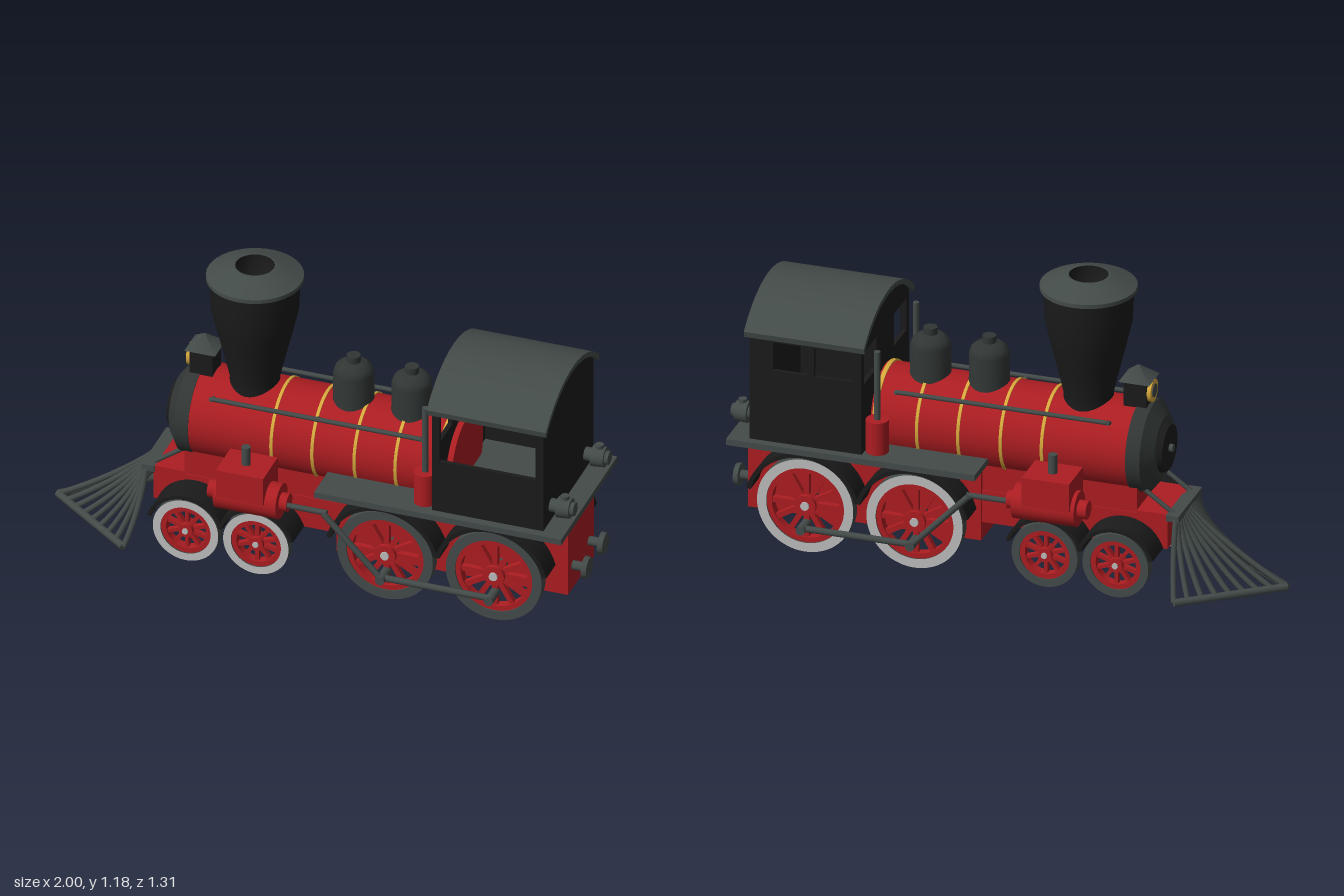
import * as THREE from 'three';

const mat = (name, color, side = THREE.FrontSide) => {
  const m = new THREE.MeshStandardMaterial({ color, side });
  m.name = name;
  return m;
};

export function createModel() {
  const red = mat('red paint', 0xac1d21);
  const grey = mat('grey iron', 0x434b49);
  const dark = mat('dark iron', 0x313635);
  const black = mat('black iron', 0x1b1b1b, THREE.DoubleSide);
  const gold = mat('brass', 0xd6a83c);
  const white = mat('pale steel', 0xbdbdbd);

  // Built with the nose towards -x, then turned as a whole
  const engine = new THREE.Group();
  engine.name = 'engine';
  const add = (name, geo, material, x = 0, y = 0, z = 0, parent = engine) => {
    const m = new THREE.Mesh(geo, material);
    m.name = name;
    m.position.set(x, y, z);
    parent.add(m);
    return m;
  };
  const box = (name, material, x0, x1, y0, y1, z0, z1) =>
    add(name, new THREE.BoxGeometry(x1 - x0, y1 - y0, z1 - z0), material, (x0 + x1) / 2, (y0 + y1) / 2, (z0 + z1) / 2);
  const lathe = (pts, n = 40) => new THREE.LatheGeometry(pts.map(p => new THREE.Vector2(...p)), n);
  const up = (name, material, r, y0, y1, x, z) =>
    add(name, new THREE.CylinderGeometry(r, r, y1 - y0, 24), material, x, (y0 + y1) / 2, z);
  const along = (name, material, r0, r1, x0, x1, y, z, n = 32) => {
    const g = new THREE.CylinderGeometry(r1, r0, x1 - x0, n).rotateZ(-Math.PI / 2);
    return add(name, g, material, (x0 + x1) / 2, y, z);
  };
  const rod = (name, material, a, b, r = 0.008, n = 8) => {
    const p = new THREE.Vector3(...a), q = new THREE.Vector3(...b), d = q.clone().sub(p);
    const m = add(name, new THREE.CylinderGeometry(r, r, d.length(), n), material, ...p.clone().add(q).multiplyScalar(0.5).toArray());
    m.quaternion.setFromUnitVectors(new THREE.Vector3(0, 1, 0), d.normalize());
    return m;
  };
  const extrude = (shape, depth) => new THREE.ExtrudeGeometry(shape, { depth, bevelEnabled: false, curveSegments: 40 });
  const hole = (shape, x0, x1, y0, y1) => {
    const p = new THREE.Path();
    p.moveTo(x0, y0).lineTo(x0, y1).lineTo(x1, y1).lineTo(x1, y0).closePath();
    shape.holes.push(p);
  };
  const ring = (ro, ri, depth) => {
    const s = new THREE.Shape().absarc(0, 0, ro, 0, Math.PI * 2);
    s.holes.push(new THREE.Path().absarc(0, 0, ri, 0, Math.PI * 2, true));
    return extrude(s, depth).translate(0, 0, -depth / 2);
  };
  // Band arched over a wheel
  const arch = (ro, ri, a, depth) => {
    const s = new THREE.Shape();
    s.absarc(0, 0, ro, a, Math.PI - a, false).absarc(0, 0, ri, Math.PI - a, a, true).closePath();
    return extrude(s, depth).translate(0, 0, -depth / 2);
  };

  // Boiler, nose and brass bands
  const BY = 0.52, BR = 0.173;
  along('boiler', red, BR, BR, -0.585, 0.46, BY, 0, 48);
  along('smokeboxNose', dark, 0.174, 0.176, -0.625, -0.57, BY, 0, 48);
  along('smokeboxCone', dark, 0.12, 0.174, -0.665, -0.625, BY, 0, 48);
  along('smokeboxDoor', black, 0.088, 0.098, -0.685, -0.66, BY, 0, 40);
  along('doorKnob', grey, 0.015, 0.015, -0.7, -0.68, BY, 0, 16);
  for (const x of [-0.245, -0.085, 0.08, 0.24]) along('boilerBand', gold, BR + 0.004, BR + 0.004, x - 0.006, x + 0.006, BY, 0, 48);
  along('cabBand', gold, BR + 0.006, BR + 0.006, 0.395, 0.412, BY, 0, 48);

  // Chimney
  add('chimney', lathe([[0.1, 0.64], [0.092, 0.7], [0.115, 0.8], [0.14, 0.9], [0.163, 1.0], [0.168, 1.12]]), black, -0.37);
  add('chimneyCap', lathe([[0.165, 1.12], [0.181, 1.124]]), grey, -0.37);
  add('chimneyRim', lathe([[0.181, 1.124], [0.181, 1.14]]), grey, -0.37);
  add('chimneyTop', lathe([[0.181, 1.14], [0.085, 1.18], [0.073, 1.18]]), grey, -0.37);
  add('chimneyThroat', lathe([[0.073, 1.18], [0.073, 1.06], [0.0, 1.06]]), black, -0.37);

  // Steam domes
  for (const x of [0.016, 0.244]) {
    add('dome', lathe([[0.085, 0.64], [0.076, 0.7], [0.076, 0.8], [0.067, 0.825], [0.045, 0.842], [0, 0.85]], 32), dark, x);
    up('domeKnob', dark, 0.026, 0.84, 0.872, x, 0);
  }

  // Headlamp
  box('lampBody', black, -0.61, -0.52, 0.66, 0.79, -0.045, 0.045);
  add('lampRoof', new THREE.ConeGeometry(0.085, 0.055, 4).rotateY(Math.PI / 4), grey, -0.565, 0.815, 0);
  along('lampRing', gold, 0.044, 0.044, -0.625, -0.609, 0.745, 0);
  along('lampGlass', grey, 0.026, 0.026, -0.628, -0.624, 0.745, 0);

  // Frame, saddle and deck
  box('rearFrame', red, 0.0, 0.905, 0.1, 0.421, -0.142, 0.142);
  for (const s of [-1, 1]) box('frontRail', red, -0.7, 0.0, 0.17, 0.3, s * 0.1 - 0.03, s * 0.1 + 0.03);
  box('saddle', red, -0.6, 0.0, 0.28, 0.42, -0.125, 0.125);
  box('frontBeam', red, -0.72, -0.6, 0.17, 0.31, -0.13, 0.13);
  box('bogie', black, -0.595, -0.005, 0.2, 0.279, -0.07, 0.07);
  box('deck', grey, -0.03, 0.937, 0.42, 0.444, -0.305, 0.305);

  // Cab: open on one side, two windows on the other
  const RC = 0.577, RO = 0.423, RI = 0.403, W = 0.272;
  const endWall = () => {
    const s = new THREE.Shape(), a = Math.acos(W / RI);
    s.moveTo(-W, 0.44).lineTo(W, 0.44);
    s.absarc(0, RC, RI, a, Math.PI - a, false).closePath();
    return s;
  };
  const front = endWall();
  hole(front, -0.245, -0.1, 0.72, 0.85);
  hole(front, 0.1, 0.245, 0.72, 0.85);
  add('cabFrontWall', extrude(front, 0.018).rotateY(Math.PI / 2), black, 0.42);
  add('cabRearWall', extrude(endWall(), 0.018).rotateY(Math.PI / 2), black, 0.837);
  const sideWall = (s, openings) => {
    const side = new THREE.Shape();
    side.moveTo(0.42, 0.44).lineTo(0.855, 0.44).lineTo(0.855, 0.875).lineTo(0.42, 0.875).closePath();
    for (const o of openings) hole(side, ...o);
    add('cabSideWall', extrude(side, 0.016), black, 0, 0, s * (W - 0.008) - 0.008);
  };
  sideWall(1, [[0.45, 0.825, 0.66, 0.86]]);
  sideWall(-1, [[0.46, 0.605, 0.735, 0.85], [0.63, 0.765, 0.735, 0.85]]);
  const roof = new THREE.Shape(), ra = Math.acos(0.29 / RO), rb = Math.acos(0.285 / RI);
  roof.absarc(0, RC, RO, ra, Math.PI - ra, false).absarc(0, RC, RI, Math.PI - rb, rb, true).closePath();
  add('cabRoof', extrude(roof, 0.467).rotateY(Math.PI / 2), grey, 0.405);

  // Spoked wheel, its tyre in a face colour and a tread colour
  const wheel = (name, x, s, r, tyre, spokes, face) => {
    const g = new THREE.Group();
    g.name = name;
    g.position.set(x, r, s * 0.218);
    engine.add(g);
    const ri = r - tyre;
    add('tyre', ring(r, ri, 0.044), [white, grey], 0, 0, 0, g);
    add('tyreFace', ring(r, ri, 0.004), [face, grey], 0, 0, s * 0.022, g);
    add('rim', ring(ri, ri - 0.02, 0.036), red, 0, 0, 0, g);
    add('hub', new THREE.CylinderGeometry(r * 0.22, r * 0.22, 0.052, 24).rotateX(Math.PI / 2), red, 0, 0, 0, g);
    add('hubNut', new THREE.CylinderGeometry(r * 0.09, r * 0.09, 0.066, 12).rotateX(Math.PI / 2), white, 0, 0, 0, g);
    for (let i = 0; i < spokes; i++) {
      const spoke = new THREE.BoxGeometry(r * 0.11, ri - 0.01, 0.022).translate(0, (ri - 0.01) / 2, 0);
      add('spoke', spoke.rotateZ(i * Math.PI * 2 / spokes), red, 0, 0, 0, g);
    }
  };

  for (const s of [-1, 1]) {
    for (const x of [-0.555, -0.28]) {
      wheel('smallWheel', x, s, 0.128, 0.03, 10, s > 0 ? white : grey);
      add('smallFender', arch(0.155, 0.14, 0.3, 0.13), black, x, 0.125, s * 0.185);
    }
    for (const x of [0.225, 0.65]) {
      wheel('drivingWheel', x, s, 0.187, 0.036, 12, s > 0 ? grey : white);
      rod('drivingAxle', grey, [x, 0.187, s * 0.13], [x, 0.187, s * 0.21], 0.02, 16);
      add('drivingFender', arch(0.225, 0.208, 0.25, 0.1), black, x, 0.187, s * 0.225);
      add('crankPin', new THREE.CylinderGeometry(0.018, 0.018, 0.08, 16).rotateX(Math.PI / 2), grey, x, 0.11, s * 0.262);
    }

    // Steam cylinder and running gear
    box('valveChest', red, -0.405, -0.22, 0.36, 0.475, s * 0.25 - 0.08, s * 0.25 + 0.08);
    box('cylinderBracket', red, -0.38, -0.24, 0.3, 0.42, s * 0.16 - 0.06, s * 0.16 + 0.06);
    along('steamCylinder', red, 0.068, 0.068, -0.42, -0.175, 0.345, s * 0.255);
    along('cylinderGland', red, 0.035, 0.035, -0.455, -0.145, 0.345, s * 0.255, 24);
    up('oilCup', grey, 0.017, 0.47, 0.55, -0.315, s * 0.25);
    rod('pistonRod', grey, [-0.15, 0.345, s * 0.275], [0.01, 0.345, s * 0.275], 0.011);
    rod('mainRod', grey, [0.0, 0.345, s * 0.285], [0.225, 0.11, s * 0.285], 0.012);
    rod('couplingRod', grey, [0.21, 0.11, s * 0.275], [0.665, 0.11, s * 0.275], 0.013);

    // Boiler fittings
    rod('handrail', grey, [-0.49, 0.655, s * 0.142], [0.33, 0.655, s * 0.142], 0.009);
    for (const x of [-0.49, -0.08, 0.33]) rod('handrailPost', grey, [x, 0.64, s * 0.11], [x, 0.655, s * 0.146], 0.009);
    up('airPump', red, 0.043, 0.443, 0.575, 0.376, s * 0.222);
    up('pumpPipe', grey, 0.012, 0.575, 0.85, 0.376, s * 0.222);
    rod('noseBrace', grey, [-0.6, 0.4, s * 0.1], [-0.74, 0.3, s * 0.1], 0.009);

    // Rear lamps and buffers
    along('rearLampStem', grey, 0.026, 0.026, 0.85, 0.95, 0.51, s * 0.188);
    along('rearLamp', grey, 0.042, 0.038, 0.885, 0.935, 0.51, s * 0.188);
    up('rearLampCap', grey, 0.016, 0.54, 0.562, 0.91, s * 0.188);
    along('bufferStem', grey, 0.018, 0.018, 0.9, 0.955, 0.2, s * 0.089);
    along('bufferHead', grey, 0.044, 0.04, 0.95, 0.97, 0.2, s * 0.089);
  }

  // Pilot: bars sweeping from the top plate to a pointed base
  box('pilotPlate', grey, -0.765, -0.715, 0.285, 0.31, -0.135, 0.135);
  const tip = [-1.14, 0.022, 0];
  for (const s of [-1, 1]) {
    rod('pilotBase', grey, tip, [-0.79, 0.022, s * 0.265], 0.015);
    for (let i = s < 0 ? 1 : 0; i <= 8; i++) {
      const t = i / 8;
      const a = new THREE.Vector3(-0.75, 0.295, s * 0.125 * t);
      const b = new THREE.Vector3(-1.14 + 0.35 * t, 0.022, s * 0.265 * t);
      const mid = a.clone().lerp(b, 0.5).add(new THREE.Vector3(0.015, -0.025, -s * 0.012 * t));
      add('pilotBar', new THREE.TubeGeometry(new THREE.QuadraticBezierCurve3(a, mid, b), 8, 0.011, 6), grey);
    }
  }

  engine.rotation.y = 0.4765;
  engine.position.set(0.023, 0, 0.044);
  const model = new THREE.Group();
  model.name = 'steamLocomotive';
  model.add(engine);
  return model;
}
